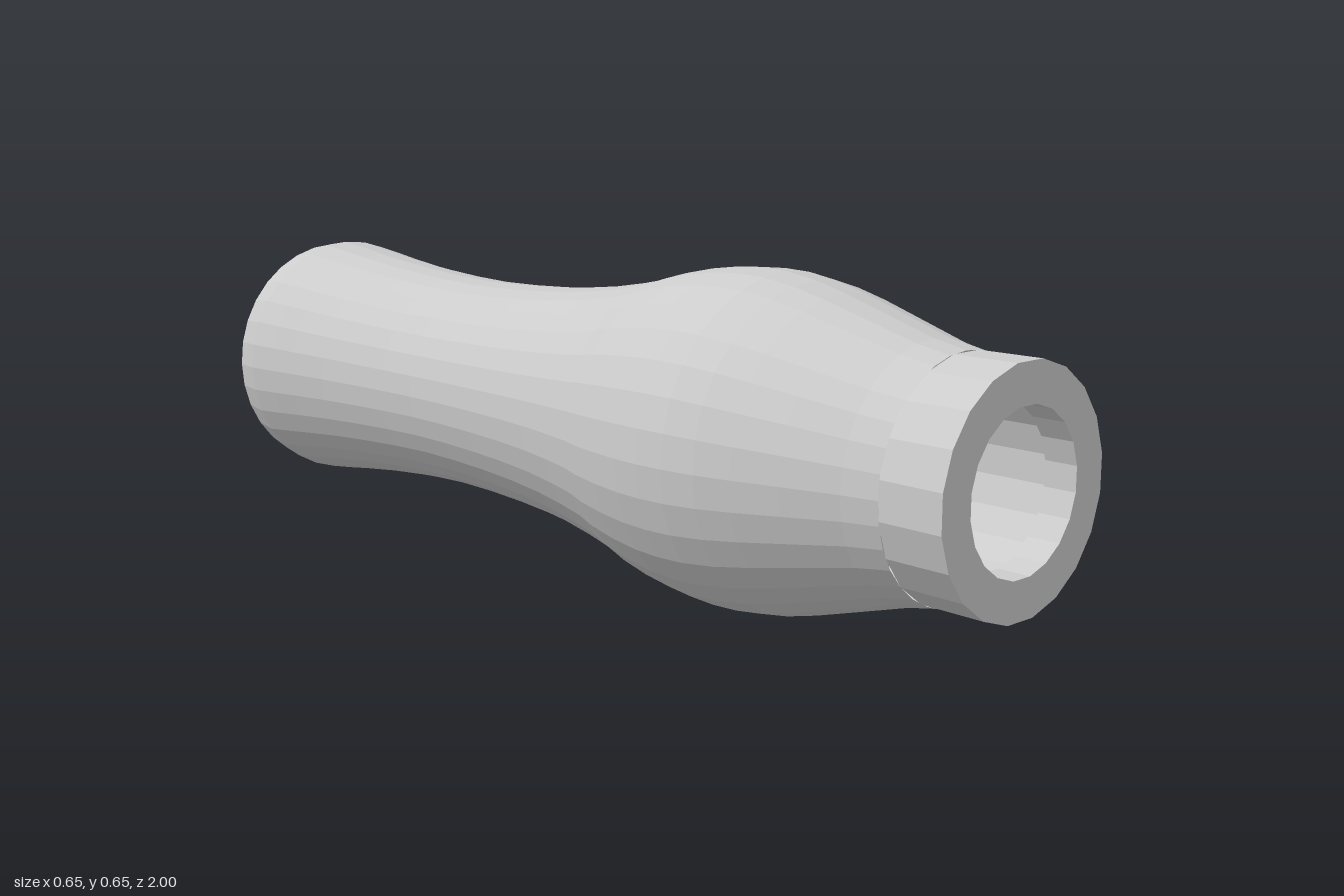
import * as THREE from 'three';

const AXIS_HEIGHT = 0.327;

// Turned part: profile is a list of [radius, z], running along the handle's axis.
function turned(name, profile, sides, material, phase = 0) {
  const points = profile.map(([r, z]) => new THREE.Vector2(r, z));
  const geometry = new THREE.LatheGeometry(points, sides, phase);
  geometry.rotateX(Math.PI / 2);
  const mesh = new THREE.Mesh(geometry, material);
  mesh.name = name;
  mesh.position.y = AXIS_HEIGHT;
  return mesh;
}

export function createModel() {
  const group = new THREE.Group();
  group.name = 'turnedHandle';
  const material = new THREE.MeshStandardMaterial({
    color: 0xcccccc, flatShading: true, side: THREE.DoubleSide,
  });

  // Grip: closed flared butt, slim waist and swollen front
  group.add(turned('grip', [
    [0, -1], [0.26, -1], [0.27, -0.94], [0.262, -0.87], [0.253, -0.8],
    [0.242, -0.7], [0.234, -0.6], [0.228, -0.5], [0.225, -0.4], [0.227, -0.3],
    [0.232, -0.2], [0.24, -0.1], [0.252, 0], [0.266, 0.08], [0.281, 0.15],
    [0.297, 0.2], [0.312, 0.27], [0.322, 0.34], [0.325, 0.4], [0.323, 0.46],
    [0.313, 0.53], [0.296, 0.6], [0.27, 0.69], [0.238, 0.8], [0.225, 0.87],
  ], 32, material));

  // Collar: straight neck, front face, and short lip around the opening
  const half = Math.PI / 20;
  group.add(turned('collar', [
    [0.225, 0.87], [0.226, 1], [0.15, 1], [0.15, 0.935],
  ], 20, material, half));

  // Socket: slightly wider bore behind the lip
  group.add(turned('socket', [
    [0.15, 0.935], [0.175, 0.935], [0.175, 0.3], [0, 0.3],
  ], 20, material, half));

  return group;
}
